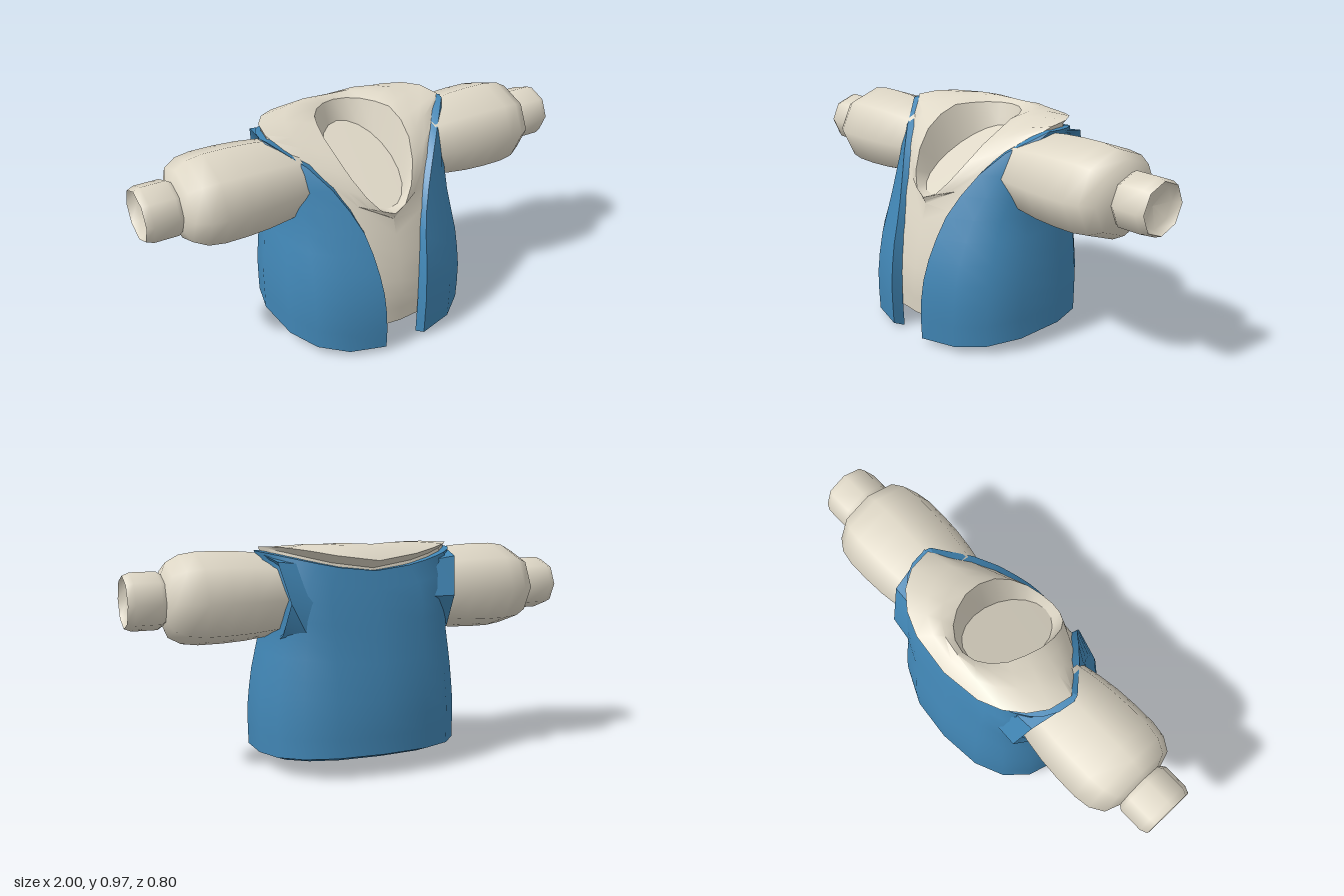
import * as THREE from 'three';
import { mergeVertices, toCreasedNormals } from 'three/addons/utils/BufferGeometryUtils.js';

const lerp = THREE.MathUtils.lerp;
const mix = (a, b, t) => a.map((c, i) => lerp(c, b[i], t));

// Piecewise linear lookup of a row of values by its first column
function lookup(rows, k) {
  if (k <= rows[0][0]) return rows[0].slice(1);
  for (let i = 1; i < rows.length; i++) {
    const a = rows[i - 1], b = rows[i];
    if (k <= b[0]) return mix(a, b, (k - a[0]) / (b[0] - a[0])).slice(1);
  }
  return rows[rows.length - 1].slice(1);
}

// Grid surface from a rule f(u, v) -> [x, y, z], smooth except at sharp edges
function sheet(f, nu, nv, crease = 0.85) {
  const pos = [], idx = [];
  for (let j = 0; j <= nv; j++)
    for (let i = 0; i <= nu; i++) pos.push(...f(i / nu, j / nv));
  for (let j = 0; j < nv; j++)
    for (let i = 0; i < nu; i++) {
      const a = j * (nu + 1) + i, b = a + 1, c = a + nu + 1, d = c + 1;
      idx.push(a, b, c, b, d, c);
    }
  const g = new THREE.BufferGeometry();
  g.setAttribute('position', new THREE.Float32BufferAttribute(pos, 3));
  g.setIndex(idx);
  return toCreasedNormals(mergeVertices(g, 1e-4), crease);
}

// Torso cross-sections: height, half width, front z, back z, squareness of back
const ZC = -0.04;
const SECTIONS = [
  [0, 0.45, 0.395, -0.395, 2.5], [0.1, 0.455, 0.4, -0.4, 2.5], [0.25, 0.455, 0.4, -0.4, 2.5],
  [0.4, 0.44, 0.368, -0.385, 2.6], [0.6, 0.405, 0.3, -0.35, 3], [0.76, 0.405, 0.23, -0.32, 3.6],
  [0.885, 0.43, 0.145, -0.29, 3], [0.96, 0.455, 0, -0.27, 2.5],
];
function body(th, y, off) {
  const [rx, zf, zb, nb] = lookup(SECTIONS, y);
  const s = Math.sin(th), c = Math.cos(th), e = 2 / (c < 0 ? nb : 2.5);
  const pw = (t) => Math.sign(t) * Math.pow(Math.abs(t), e);
  const depth = c < 0 ? ZC - zb - off : zf - ZC - off;
  return [(rx - off) * pw(s), y, ZC + depth * pw(c)];
}

// Half width of the vest's front opening by height
const OPENING = [[0, 0.1], [0.13, 0.1], [0.3, 0.11], [0.45, 0.13], [0.58, 0.16],
  [0.72, 0.225], [0.84, 0.315], [0.94, 0.44]];
function vestPoint(u, v, off, drop) {
  const yn = v * 0.94;
  const ratio = lookup(OPENING, yn)[0] / lookup(SECTIONS, yn)[0];
  const start = Math.asin(Math.min(1, Math.pow(ratio, 1.25)));
  const th = lerp(start, 2 * Math.PI - start, u), c = Math.cos(th);
  const hem = c > 0 ? 0.022 + 0.05 * (1 - c) : 0.072 - 0.025 * c;
  const top = c > 0 ? 0.94 : 0.86 + 0.08 * Math.abs(Math.sin(th));
  return body(th, lerp(hem - drop, top, v), off);
}
const outer = (u, v) => vestPoint(u, v, 0, 0);
const inner = (u, v) => vestPoint(u, v, 0.05, 0.022);

// Neck opening
function neckPoint(th) {
  const z = 0.03 + 0.26 * Math.cos(th);
  const y = lookup([[-0.23, 0.95], [-0.05, 0.943], [0.05, 0.9], [0.13, 0.845], [0.22, 0.74], [0.29, 0.62]], z)[0];
  return [0.19 * Math.sin(th), y, z];
}
function neckFloor(th) {
  const z = 0.02 + 0.225 * Math.cos(th);
  return [0.15 * Math.sin(th), lerp(0.855, 0.625, (z + 0.205) / 0.45), z];
}

// Shirt rows: torso up to the yoke, over the collar edge, in to the neck
const ROWS = 11;
function shirtPoint(u, v) {
  const th = u * 2 * Math.PI, c = Math.cos(th), s = Math.abs(Math.sin(th));
  const back = Math.max(0, -c), row = Math.round(v * ROWS);
  const top = c > 0 ? 0.59 + 0.365 * Math.pow(s, 1.3) : 0.87 + 0.085 * s;
  if (row <= 7) {
    const y = lerp(0.1, top, row / 7);
    return body(th, y, lookup([[0.1, 0.055], [0.6, 0.025]], y)[0]);
  }
  const edge = body(th, top, 0.025);
  edge[1] += 0.035 * back;
  edge[2] -= 0.065 * back;
  const p = mix(edge, neckPoint(th), [0, 0.45, 0.75, 1][row - 8]);
  if (row === 9 || row === 10) p[1] += 0.03 * back;
  return p;
}

export function createModel() {
  const model = new THREE.Group();
  const blue = new THREE.MeshStandardMaterial({ color: 0x4186b5, side: THREE.DoubleSide });
  blue.name = 'vestBlue';
  const cream = new THREE.MeshStandardMaterial({ color: 0xded7c6, side: THREE.DoubleSide });
  cream.name = 'shirtCream';
  const add = (parent, name, geometry, material) => {
    const m = new THREE.Mesh(geometry, material);
    m.name = name;
    parent.add(m);
    return m;
  };

  // Vest: outside, lining and the edges between them
  const vest = new THREE.Group();
  vest.name = 'vest';
  model.add(vest);
  const N = 16, M = 10;
  add(vest, 'vestOutside', sheet(outer, N, M), blue);
  add(vest, 'vestLining', sheet((u, v) => inner(1 - u, v), N, M), blue);
  add(vest, 'vestHem', sheet((u, v) => mix(inner(u, 0), outer(u, 0), v), N, 1), blue);
  add(vest, 'vestNeckline', sheet((u, v) => mix(outer(u, 1), inner(u, 1), v), N, 1), blue);
  add(vest, 'vestLeftEdge', sheet((u, v) => mix(inner(0, v), outer(0, v), u), 1, M), blue);
  add(vest, 'vestRightEdge', sheet((u, v) => mix(outer(1, v), inner(1, v), u), 1, M), blue);

  // Armhole flaps behind the sleeves
  const rim = [[0.45, 0.943, -0.04], [0.41, 0.905, -0.235], [0.375, 0.74, -0.3], [0.385, 0.6, -0.22], [0.395, 0.55, -0.04]];
  const root = [[0.4, 0.93, -0.06], [0.28, 0.89, -0.24], [0.24, 0.74, -0.295], [0.28, 0.56, -0.29], [0.4, 0.5, -0.04]];
  for (const side of [1, -1]) {
    const flap = (u, v) => {
      const i = Math.round(u * 4), r = rim[i];
      const fold = [r[0] - 0.03, lerp(0.75, r[1], 0.82), lerp(-0.045, r[2], 0.82)];
      const p = [root[i], r, fold][Math.round(v * 2)];
      return [side * p[0], p[1], p[2]];
    };
    add(vest, side > 0 ? 'leftArmhole' : 'rightArmhole',
      sheet((u, v) => flap(side > 0 ? 1 - u : u, 1 - v), 4, 2, 0.6), blue);
  }

  // Shirt: body with collar, neck recess and closed underside
  const shirt = new THREE.Group();
  shirt.name = 'shirt';
  model.add(shirt);
  add(shirt, 'shirtBody', sheet(shirtPoint, 20, ROWS), cream);
  const turn = 2 * Math.PI;
  add(shirt, 'neckWall', sheet((u, v) => mix(neckPoint(u * turn), neckFloor(u * turn), v), 20, 1), cream);
  add(shirt, 'neckFloor', sheet((u, v) => mix(neckFloor(u * turn), [0, 0.745, 0.015], v), 20, 1), cream);
  add(shirt, 'shirtUnderside', sheet((u, v) => mix([0, 0.1, 0], shirtPoint(u, 0), v), 20, 1), cream);

  // Sleeves and hollow cuffs, eight-sided, pointing out along x
  const sleeveProfile = [[0.165, 0.33], [0.178, 0.4], [0.19, 0.5], [0.195, 0.6], [0.195, 0.7], [0.185, 0.77], [0.155, 0.825], [0.1, 0.847]];
  const cuffProfile = [[0.1, 0.835], [0.12, 0.865], [0.12, 0.97], [0.108, 1]];
  const holeProfile = [[0.108, 1], [0.09, 0.965], [0, 0.95]];
  const lathe = (pts, stretch) =>
    new THREE.LatheGeometry(pts.map(([r, x]) => new THREE.Vector2(r, x)), 8).scale(1, 1, stretch);
  for (const side of [1, -1]) {
    const arm = new THREE.Group();
    arm.name = side > 0 ? 'leftSleeve' : 'rightSleeve';
    arm.position.set(0, 0.748, -0.042);
    arm.rotation.z = -side * Math.PI / 2;
    add(arm, 'sleeve', lathe(sleeveProfile, 1.16), cream);
    add(arm, 'cuff', lathe(cuffProfile, 1.08), cream);
    add(arm, 'cuffHole', lathe(holeProfile, 1.08), cream);
    model.add(arm);
  }
  return model;
}
